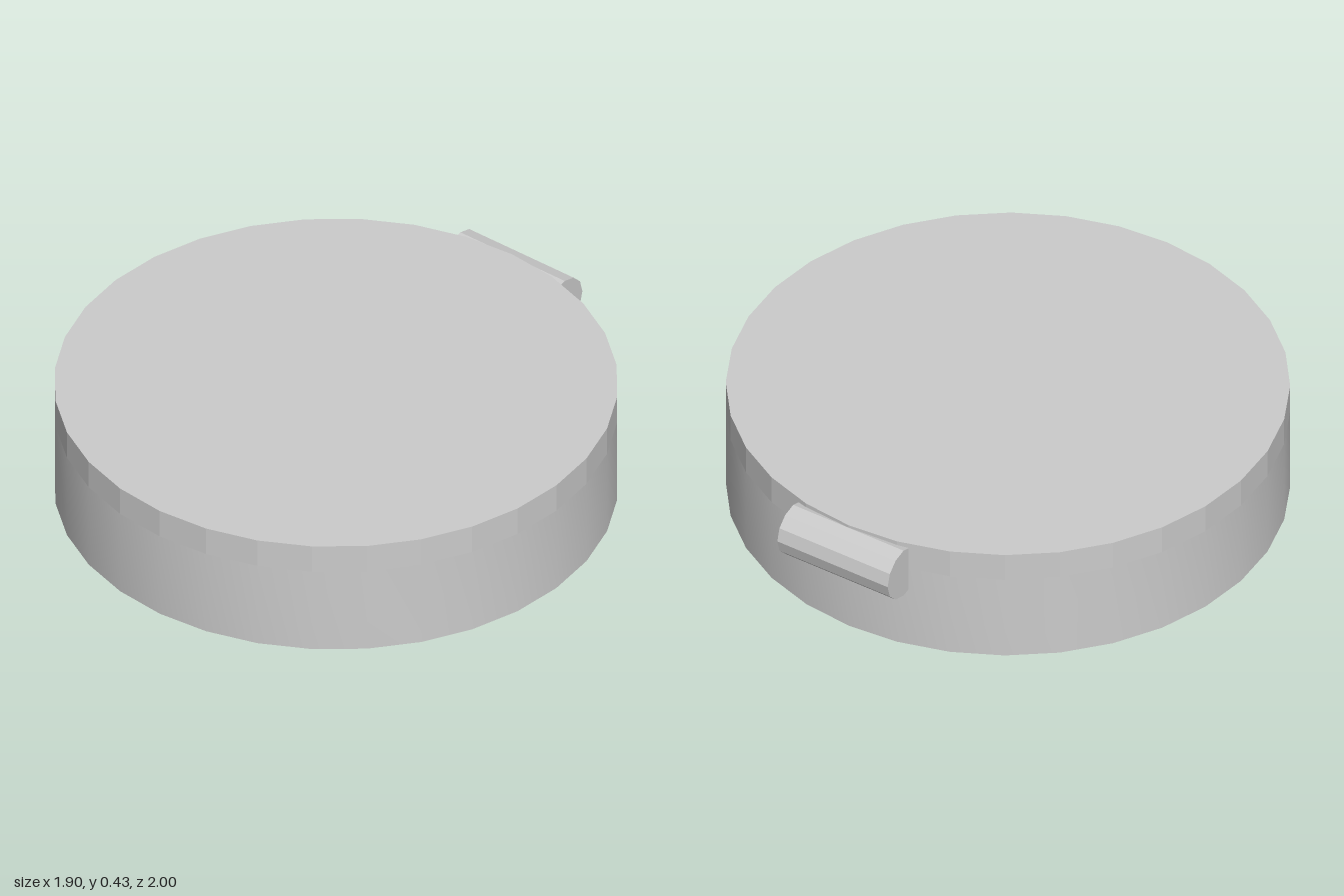
import * as THREE from 'three';
import { toCreasedNormals } from 'three/addons/utils/BufferGeometryUtils.js';

const SIDES = 32;
const RADIUS = 0.95;
const INNER_RADIUS = 0.845;
const RING_HEIGHT = 0.32;
const HEIGHT = 0.425;
const CENTER_Z = 0.046;

function addPart(group, name, geometry, flatShading = false) {
  const material = new THREE.MeshStandardMaterial({ color: 0xcccccc, flatShading });
  const mesh = new THREE.Mesh(geometry, material);
  mesh.name = name;
  group.add(mesh);
  return mesh;
}

export function createModel() {
  const group = new THREE.Group();
  group.name = 'roundLid';

  // Hollow side wall, smooth around with sharp rims
  const profile = [
    [INNER_RADIUS, RING_HEIGHT], [INNER_RADIUS, 0],
    [RADIUS, 0], [RADIUS, RING_HEIGHT], [INNER_RADIUS, RING_HEIGHT],
  ].map(([r, y]) => new THREE.Vector2(r, y));
  const wall = toCreasedNormals(new THREE.LatheGeometry(profile, SIDES), 0.6);
  addPart(group, 'sideWall', wall).position.z = CENTER_Z;

  // Faceted plate closing the top
  const thickness = HEIGHT - RING_HEIGHT;
  const plate = new THREE.CylinderGeometry(RADIUS, RADIUS, thickness, SIDES);
  addPart(group, 'topPlate', plate, true).position.set(0, RING_HEIGHT + thickness / 2, CENTER_Z);

  // Faceted hinge barrel: half of a 12-sided bar, cut flat inside the wall
  const r = 0.095, width = 0.45, cut = 0.03;
  const cutY = r - cut * Math.tan(Math.PI / 12);
  const section = [new THREE.Vector2(-cut, -cutY)];
  for (let i = -3; i <= 3; i++) {
    const a = i * Math.PI / 6;
    section.push(new THREE.Vector2(r * Math.cos(a), r * Math.sin(a)));
  }
  section.push(new THREE.Vector2(-cut, cutY));
  const barrel = new THREE.ExtrudeGeometry(new THREE.Shape(section), { depth: width, bevelEnabled: false });
  barrel.translate(0, 0, -width / 2).rotateY(Math.PI / 2);
  addPart(group, 'hingeBarrel', barrel, true).position.set(0, RING_HEIGHT, -1 + r);

  return group;
}
